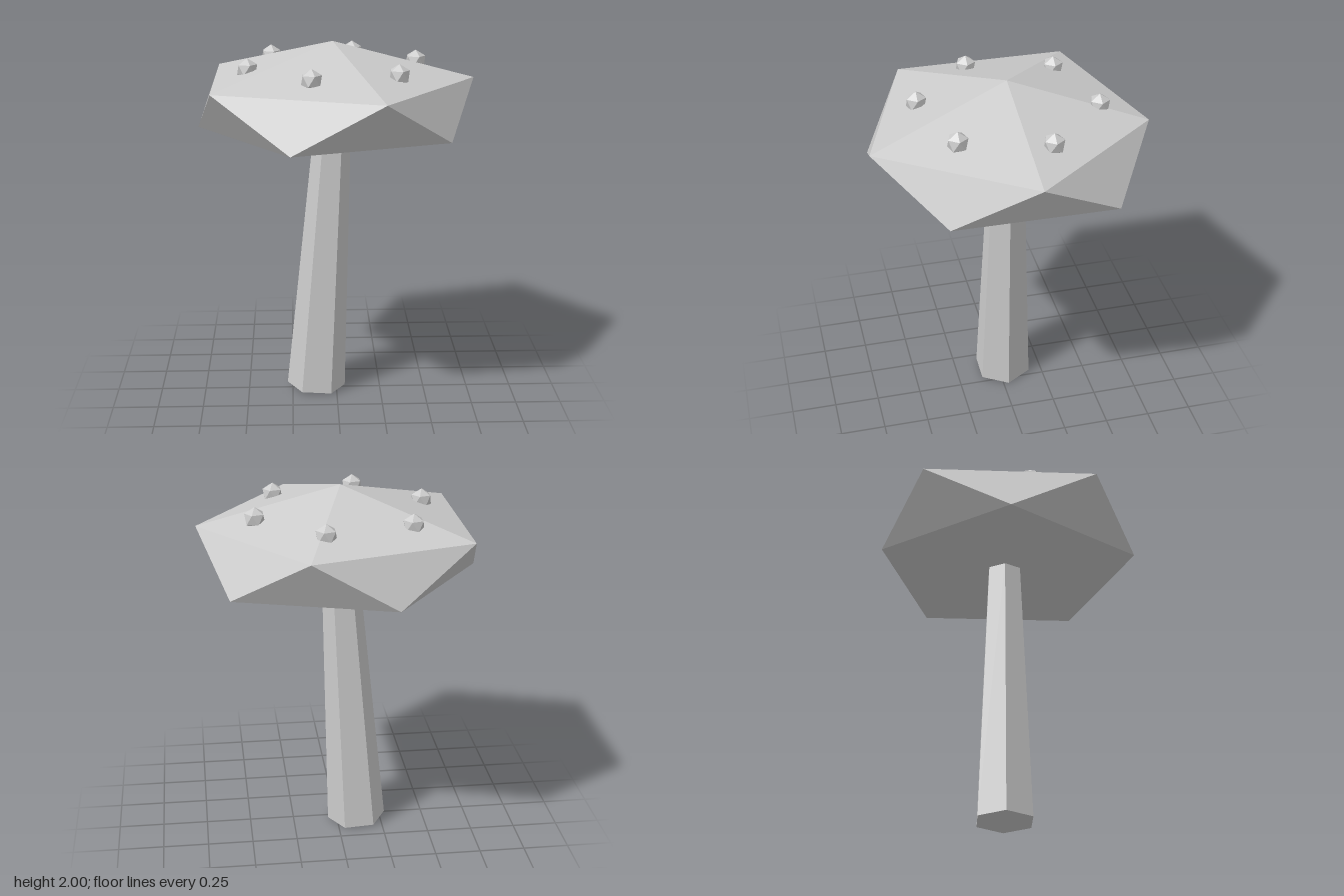
import * as THREE from 'three';

const grey = new THREE.MeshStandardMaterial({ color: 0xcccccc, flatShading: true });
grey.name = 'plain grey';

// Faceted dome: apex, a five-point rim, a five-point lower rim and a flat underside
function capGeometry() {
  const apex = [-0.02, 2, -0.03], under = [-0.02, 1.535, -0.03];
  const rim = [[0.745, -0.03], [0.205, -0.735], [-0.655, -0.495], [-0.655, 0.435], [0.225, 0.73]]
    .map(([x, z]) => [x, 1.8, z]);
  const base = [[0.59, -0.475], [-0.24, -0.72], [-0.75, -0.03], [-0.25, 0.685], [0.585, 0.4]]
    .map(([x, z]) => [x, 1.535, z]);
  const points = [];
  for (let i = 0; i < 5; i++) {
    const j = (i + 1) % 5;
    points.push(apex, rim[i], rim[j]);
    points.push(rim[i], base[i], rim[j]);
    points.push(base[i], base[j], rim[j]);
    points.push(under, base[j], base[i]);
  }
  const geometry = new THREE.BufferGeometry();
  geometry.setAttribute('position', new THREE.Float32BufferAttribute(points.flat(), 3));
  geometry.computeVertexNormals();
  return geometry;
}

export function createModel() {
  const model = new THREE.Group();
  model.name = 'mushroom';
  const add = (name, geometry, x = 0, y = 0, z = 0) => {
    const mesh = new THREE.Mesh(geometry, grey);
    mesh.name = name;
    mesh.position.set(x, y, z);
    model.add(mesh);
    return mesh;
  };

  add('cap', capGeometry());

  // Six-sided tapering stem, leaning slightly
  const length = 1.53;
  const stemGeometry = new THREE.CylinderGeometry(0.1, 0.165, length, 6);
  stemGeometry.rotateY(Math.PI / 6).translate(0, length / 2, 0);
  add('stem', stemGeometry, -0.115, 0.015, -0.03).rotation.z = -0.0625;

  // Small icosahedral spots, one corner pointing up
  const spotGeometry = new THREE.IcosahedronGeometry(0.06, 0);
  spotGeometry.rotateX(-Math.atan2((1 + Math.sqrt(5)) / 2, 1)).rotateY(Math.PI / 2);
  const spots = [[0.105, -0.495], [-0.355, -0.37], [0.44, -0.16],
    [-0.475, 0.09], [0.315, 0.3], [-0.14, 0.425]];
  spots.forEach(([x, z], i) => add('spot' + (i + 1), spotGeometry, x, 1.87, z));

  return model;
}
